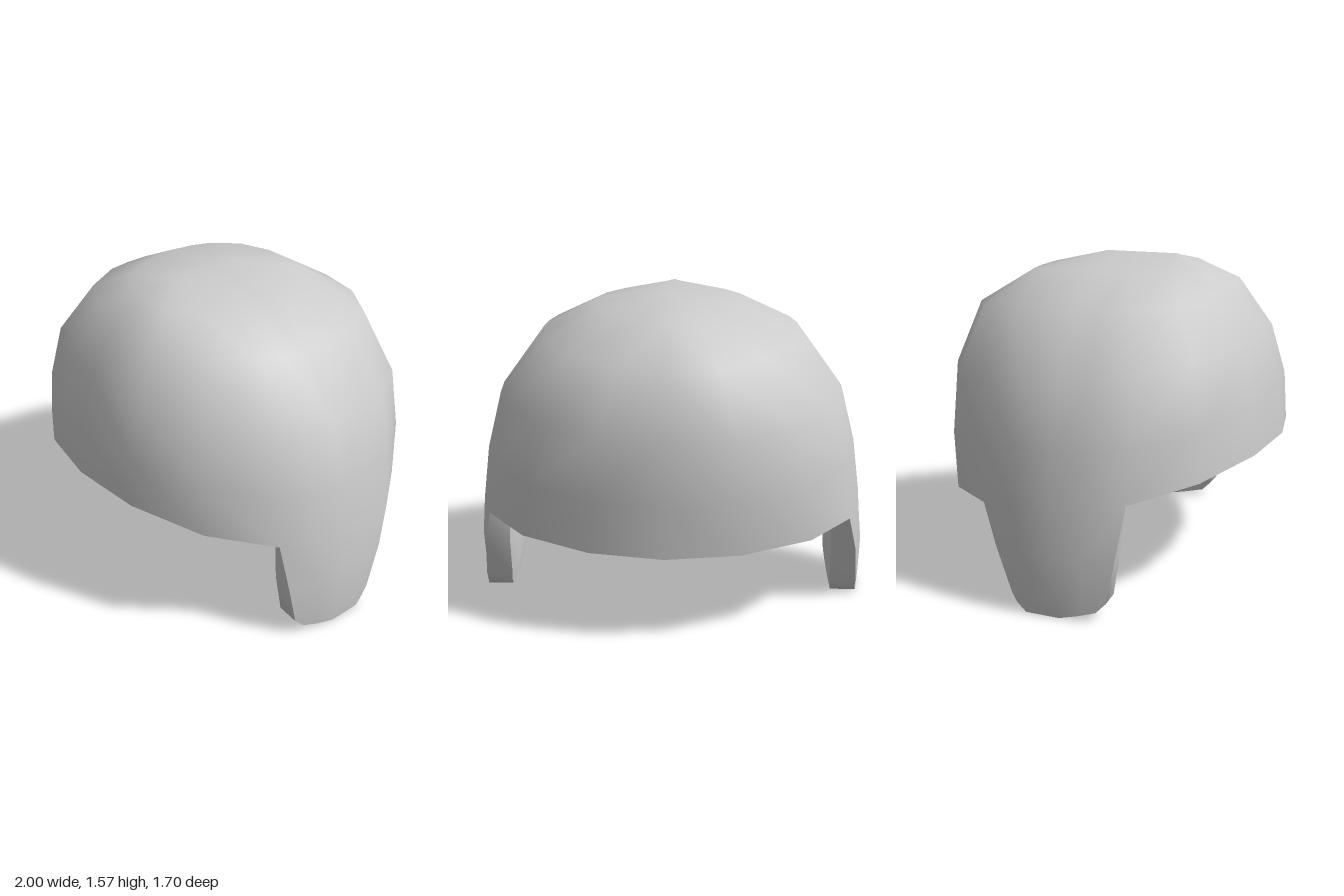
import * as THREE from 'three';
import { mergeVertices, toCreasedNormals } from 'three/addons/utils/BufferGeometryUtils.js';

const V = (x, y, z) => new THREE.Vector3(x, y, z);
const { clamp, lerp, degToRad } = THREE.MathUtils;

// Column angles from the front centre, round the left side, to the back centre
const ANGLES = [90, 69, 46.5, 23.6, 12, 0, -13, -26.1, -47, -69, -90].map(degToRad);
const FLAP_START = 3, FLAP_END = 7;

// Dome rings: [side x, side y, front z, front y, back z, back y, front fullness, back fullness]
const RINGS = [
  [0.945, 0.79, 0.83, 0.95, 0.845, 0.70, 0.015, 0.035],
  [0.87, 1.08, 0.75, 1.20, 0.835, 1.00, 0.03, 0.035],
  [0.65, 1.38, 0.58, 1.44, 0.72, 1.31, 0.04, 0.04],
  [0.37, 1.52, 0.43, 1.515, 0.45, 1.48, 0.04, 0.04],
  [0, 1.574, 0.29, 1.574, 0.08, 1.574, 0, 0],
];

function ringRow([w, ys, f, yf, b, yb, fullF, fullB]) {
  return ANGLES.map((t) => {
    const s = Math.sin(t);
    const k = 1 + (s > 0 ? fullF : fullB) * Math.sin(2 * t) ** 2;
    return V(k * w * Math.cos(t), lerp(ys, s > 0 ? yf : yb, s * s), k * s * (s > 0 ? f : b));
  });
}

// Lower edge of the dome: rises to the brow, dips to the nape
function rimRow() {
  return ANGLES.map((t) => {
    const s = Math.sin(t);
    const z = s * (s > 0 ? 0.85 : 0.837);
    const brow = (z - 0.34) / 0.51;
    let y = lerp(0.56, 0.49, clamp((0.34 - z) / 0.71, 0, 1));
    if (brow > 0) y = lerp(0.56, 0.70, brow) - 0.04 * brow * (1 - brow);
    if (z < -0.37) y = lerp(0.49, 0.45, (-z - 0.37) / 0.467);
    const full = (s > 0 ? 0.02 : 0.04) * Math.sin(2 * t) ** 2;
    return V(0.98 * Math.cos(t) * (1 + full), y, z);
  });
}

// Ear flap row from [z, y] pairs, wrapped on the side of the shell
const flapRow = (w, pairs) => pairs.map(([z, y]) => V(w * Math.sqrt(1 - (z / 0.9) ** 2), y, z));
const evenRow = (w, y, zFront, zBack) =>
  flapRow(w, [0, 1, 2, 3, 4].map((i) => [lerp(zFront, zBack, i / 4), y]));

// Outer skin: half is gridded, then mirrored and welded
function outerSkin() {
  const pos = [];
  const tri = (a, b, c) => {
    pos.push(...a.toArray(), ...b.toArray(), ...c.toArray());
    for (const p of [a, c, b]) pos.push(-p.x, p.y, p.z);
  };
  const grid = (rows) => {
    for (let r = 0; r + 1 < rows.length; r++) {
      const last = rows[r].length - 1;
      for (let i = 0; i < last; i++) {
        const a = rows[r][i], b = rows[r][i + 1], c = rows[r + 1][i + 1], d = rows[r + 1][i];
        // diagonals mirror front to back so the crown closes cleanly
        const front = i < last / 2;
        tri(a, b, front ? d : c);
        tri(front ? b : a, c, d);
      }
    }
  };
  const rim = rimRow();
  grid([rim, ...RINGS.map(ringRow)]);
  grid([
    flapRow(0.985, [[0.21, 0.04], [0.13, 0.02], [0.04, 0], [-0.13, 0], [-0.18, 0.04]]),
    evenRow(0.993, 0.09, 0.26, -0.205),
    evenRow(1.0, 0.3, 0.3, -0.29),
    rim.slice(FLAP_START, FLAP_END + 1),
  ]);
  const g = new THREE.BufferGeometry();
  g.setAttribute('position', new THREE.Float32BufferAttribute(pos, 3));
  return mergeVertices(g, 1e-4);
}

// Lining point behind an outer point: thin on the dome, padded and flat in the flaps
function liningPoint(p, n) {
  const side = clamp((Math.abs(p.x) - 0.72) / 0.16, 0, 1);
  const pad = side * clamp((1 - p.y) / 0.4, 0, 1);
  const q = p.clone().addScaledVector(n, -lerp(0.035, 0.108, pad));
  const flat = V(Math.sign(p.x) * lerp(0.843, 0.785, p.y / 0.5), p.y, p.z * 0.98);
  return q.lerp(flat, side * clamp((0.49 - p.y) / 0.35, 0, 1));
}

// Give the skin thickness: offset lining plus a strip along every open edge
function thicken(skin) {
  const tris = [];
  const ix = skin.index.array;
  for (let i = 0; i < ix.length; i += 3) {
    const [a, b, c] = [ix[i], ix[i + 1], ix[i + 2]];
    if (a !== b && b !== c && c !== a) tris.push([a, b, c]);
  }
  skin.setIndex(tris.flat());
  skin.computeVertexNormals();

  const outer = [], inner = [];
  const P = skin.attributes.position, N = skin.attributes.normal;
  for (let i = 0; i < P.count; i++) {
    outer.push(V().fromBufferAttribute(P, i));
    inner.push(liningPoint(outer[i], V().fromBufferAttribute(N, i)));
  }

  const pos = [];
  const put = (...pts) => pts.forEach((p) => pos.push(p.x, p.y, p.z));
  const edges = new Set();
  for (const [a, b, c] of tris) {
    put(outer[a], outer[b], outer[c]);
    put(inner[a], inner[c], inner[b]);
    edges.add(`${a},${b}`).add(`${b},${c}`).add(`${c},${a}`);
  }
  for (const e of edges) {
    const [a, b] = e.split(',').map(Number);
    if (edges.has(`${b},${a}`)) continue;
    put(outer[b], outer[a], inner[a]);
    put(outer[b], inner[a], inner[b]);
  }
  const g = new THREE.BufferGeometry();
  g.setAttribute('position', new THREE.Float32BufferAttribute(pos, 3));
  return toCreasedNormals(g, 0.95);
}

export function createModel() {
  const group = new THREE.Group();
  group.name = 'cap';
  const material = new THREE.MeshStandardMaterial({ color: 0xcccccc });
  const shell = new THREE.Mesh(thicken(outerSkin()), material);
  shell.name = 'capShellWithEarFlaps';
  group.add(shell);
  return group;
}
